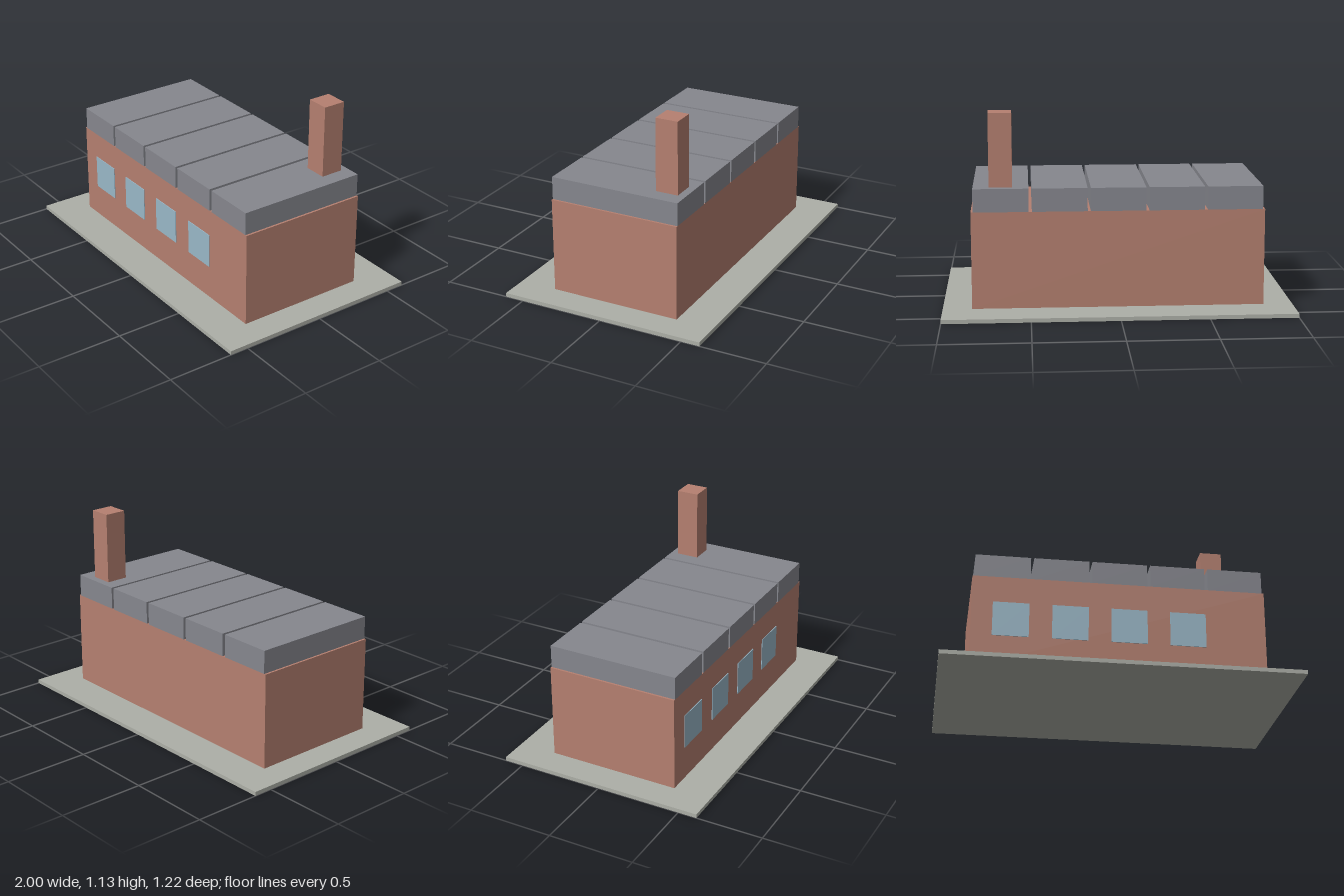
import * as THREE from 'three';

const material = (name, color) => {
  const m = new THREE.MeshStandardMaterial({ color });
  m.name = name;
  return m;
};

export function createModel() {
  const group = new THREE.Group();
  const brick = material('brick', 0xb58070);
  const slate = material('roofGrey', 0x86878e);
  const glass = material('windowBlue', 0x9ab8c8);
  const concrete = material('concrete', 0xadafa7);

  // Box given by its limits on each axis
  const box = (name, mat, [x0, x1], [y0, y1], [z0, z1]) => {
    const mesh = new THREE.Mesh(new THREE.BoxGeometry(x1 - x0, y1 - y0, z1 - z0), mat);
    mesh.position.set((x0 + x1) / 2, (y0 + y1) / 2, (z0 + z1) / 2);
    mesh.name = name;
    group.add(mesh);
  };

  // Ground slab and main hall
  box('groundSlab', concrete, [-1, 1], [0, 0.023], [-0.611, 0.611]);
  box('hall', brick, [-0.833, 0.833], [0.023, 0.58], [-0.389, 0.389]);

  // Five roof bays separated by narrow gaps
  for (let i = -2; i <= 2; i++) {
    const x = i * 0.332;
    box('roofBay', slate, [x - 0.157, x + 0.157], [0.58, 0.713], [-0.389, 0.389]);
  }

  // Chimney rising from the back left corner
  box('chimney', brick, [0.598, 0.73], [0.58, 1.135], [-0.344, -0.211]);

  // Front windows
  for (let i = 0; i < 4; i++) {
    const x = -0.612 + i * 0.333;
    box('window', glass, [x - 0.102, x + 0.102], [0.222, 0.425], [0.385, 0.393]);
  }
  return group;
}
